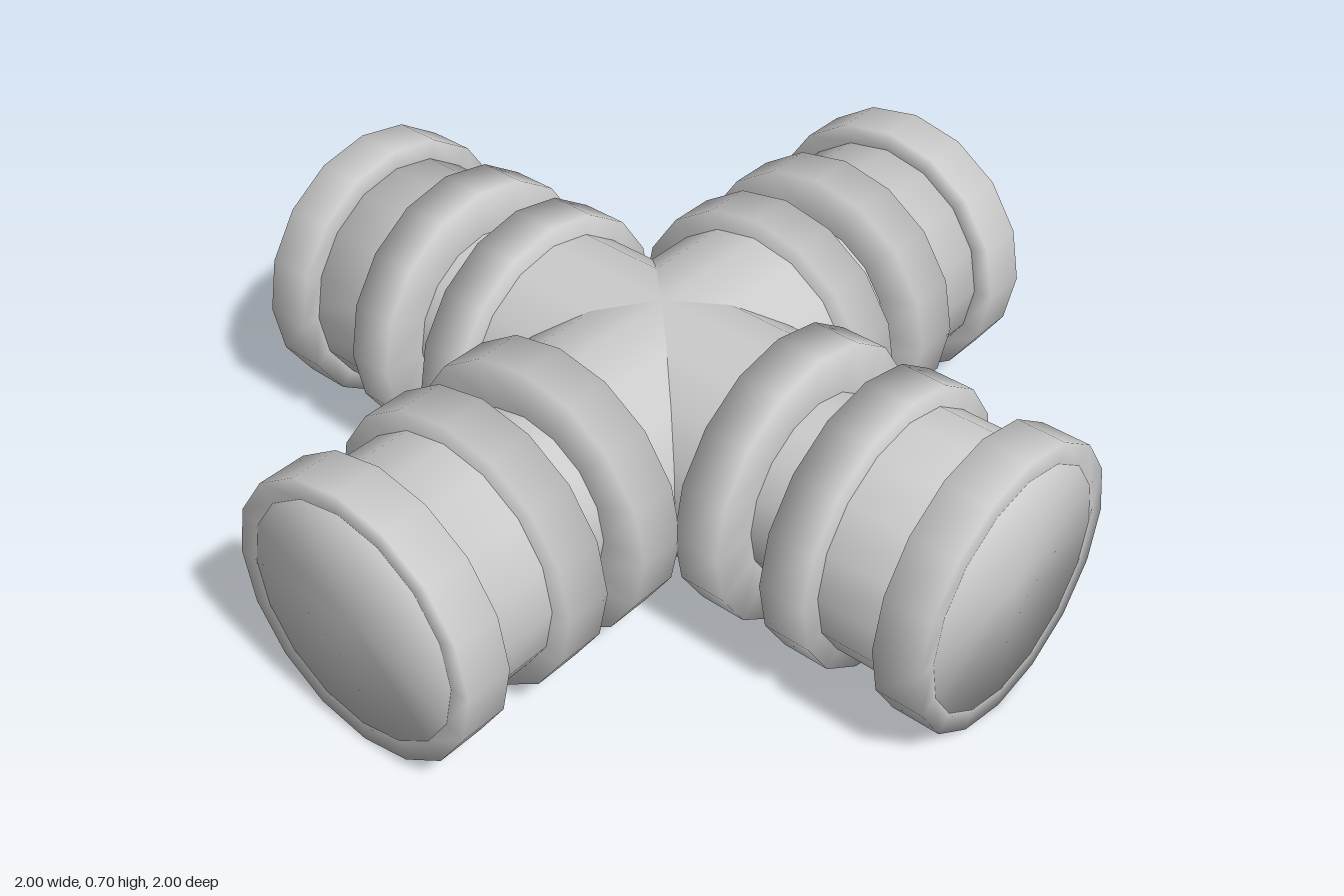
import * as THREE from 'three';

const SIDES = 16;
const CENTRE_Y = 0.35;
const PIPE_R = 0.3, NECK_R = 0.23, COLLAR_R = 0.35;

const material = new THREE.MeshStandardMaterial({ color: 0xcccccc });

// Smooth round part turned about the arm's axis; points are [radius, distance from the centre]
function turned(name, points) {
  const profile = points.map(([r, d]) => new THREE.Vector2(r, d));
  const mesh = new THREE.Mesh(new THREE.LatheGeometry(profile, SIDES), material);
  mesh.name = name;
  return mesh;
}

// Raised ring between two distances, with side faces reaching in to the given radius
function collar(name, from, to, innerR) {
  return turned(name, [[innerR, from], [COLLAR_R, from], [COLLAR_R, to], [innerR, to]]);
}

// One arm, built upward along +y from the crossing
function createArm() {
  const arm = new THREE.Group();
  arm.add(
    turned('crossingPipe', [[PIPE_R, 0], [PIPE_R, 0.4]]),
    collar('innerCollar', 0.34, 0.46, NECK_R),
    turned('neck', [[NECK_R, 0.4], [NECK_R, 0.64]]),
    collar('middleCollar', 0.58, 0.7, NECK_R),
    // outer pipe, closed flush with the end collar
    turned('outerPipe', [[PIPE_R, 0.64], [PIPE_R, 1], [0, 1]]),
    collar('endCollar', 0.88, 1, PIPE_R),
  );
  return arm;
}

export function createModel() {
  const model = new THREE.Group();
  model.name = 'pipeCross';

  // Four equal arms around the vertical axis
  ['frontArm', 'leftArm', 'backArm', 'rightArm'].forEach((name, i) => {
    const arm = createArm();
    arm.name = name;
    arm.rotation.order = 'YXZ';
    arm.rotation.set(Math.PI / 2, (i * Math.PI) / 2, 0);
    arm.position.y = CENTRE_Y;
    model.add(arm);
  });
  return model;
}
